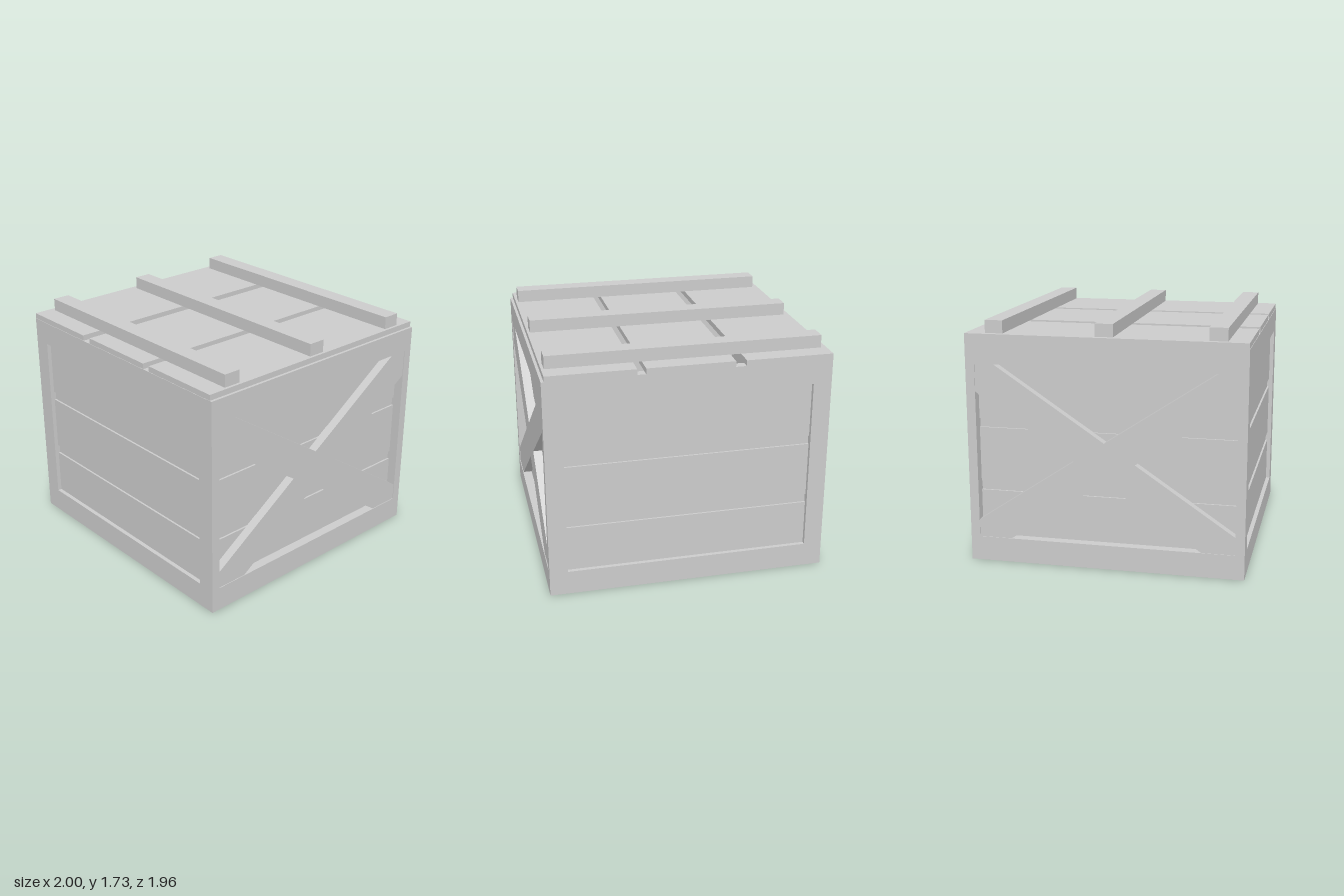
import * as THREE from 'three';

const material = new THREE.MeshStandardMaterial({ color: 0xcccccc, flatShading: true });

// Main dimensions of the crate
const HALF_X = 1, HALF_Z = 0.98, BODY_TOP = 1.6, LID_TOP = 1.64;
const IN_X = 0.87, IN_Z = 0.915, LOW = 0.175, HIGH = 1.43;
const ROWS = [[LOW, 0.505], [0.57, 0.965], [1.03, HIGH]];

// Box given by its extents along each axis
function box(parent, name, [x0, x1], [y0, y1], [z0, z1]) {
  const mesh = new THREE.Mesh(new THREE.BoxGeometry(x1 - x0, y1 - y0, z1 - z0), material);
  mesh.position.set((x0 + x1) / 2, (y0 + y1) / 2, (z0 + z1) / 2);
  mesh.name = name;
  parent.add(mesh);
}

function extrude(parent, name, shape, depth) {
  const mesh = new THREE.Mesh(new THREE.ExtrudeGeometry(shape, { depth, bevelEnabled: false }), material);
  mesh.name = name;
  parent.add(mesh);
  return mesh;
}

function polygon(points) {
  return new THREE.Shape(points.map(([x, y]) => new THREE.Vector2(x, y)));
}

// Framed wall with three shallow recessed planks, facing +z
function makeFrontWall() {
  const wall = new THREE.Group();
  const frame = polygon([[-HALF_X, 0], [HALF_X, 0], [HALF_X, BODY_TOP], [-HALF_X, BODY_TOP]]);
  frame.holes.push(polygon([[-IN_X, LOW], [-IN_X, HIGH], [IN_X, HIGH], [IN_X, LOW]]));
  extrude(wall, 'wallFrame', frame, HALF_Z - IN_Z).position.z = IN_Z;
  for (const row of ROWS) box(wall, 'wallPlank', [-IN_X, IN_X], row, [0.92, 0.95]);
  box(wall, 'wallBacking', [-IN_X, IN_X], [LOW, HIGH], [0.915, 0.936]);
  return wall;
}

// Side wall with rails, deep-set planks and a cross brace, facing +z before turning
function makeSideWall() {
  const wall = new THREE.Group();
  const span = [-IN_Z, IN_Z];
  box(wall, 'bottomRail', span, [0, LOW], [IN_X, HALF_X]);
  box(wall, 'topRail', span, [HIGH, BODY_TOP], [IN_X, HALF_X]);
  for (const row of ROWS) box(wall, 'sidePlank', span, row, [0.88, 0.93]);
  box(wall, 'sideBacking', span, [LOW, HIGH], [IN_X, 0.916]);

  // Cross brace: half outline from top notch to bottom notch, then mirrored
  const half = [[0, 0.91], [0.78, HIGH], [IN_Z, HIGH], [IN_Z, 1.232], [0.215, 0.77],
    [IN_Z, 0.3], [IN_Z, LOW], [0.68, LOW], [0, 0.63]];
  const mirrored = half.slice(1, -1).reverse().map(([x, y]) => [-x, y]);
  extrude(wall, 'crossBrace', polygon([...half, ...mirrored]), 0.067).position.z = 0.928;
  return wall;
}

export function createModel() {
  const crate = new THREE.Group();
  crate.name = 'crate';

  // Four walls in opposite pairs
  for (const [i, name] of ['frontWall', 'leftWall', 'backWall', 'rightWall'].entries()) {
    const wall = i % 2 ? makeSideWall() : makeFrontWall();
    wall.name = name;
    wall.rotation.y = i * Math.PI / 2;
    crate.add(wall);
  }

  // Floor set slightly above the bottom edge
  box(crate, 'floor', [-IN_X, IN_X], [0.04, 0.09], [-IN_Z, IN_Z]);

  // Lid planks with open gaps, held by three battens
  const lid = new THREE.Group();
  lid.name = 'lid';
  for (const x of [[-1, -0.385], [-0.31, 0.305], [0.365, 0.98]]) {
    box(lid, 'lidPlank', x, [BODY_TOP, LID_TOP], [-HALF_Z, 0.977]);
  }
  for (const z of [-0.78, -0.005, 0.77]) {
    box(lid, 'lidBatten', [-0.96, 0.96], [LID_TOP, 1.73], [z - 0.063, z + 0.063]);
  }
  crate.add(lid);
  return crate;
}
